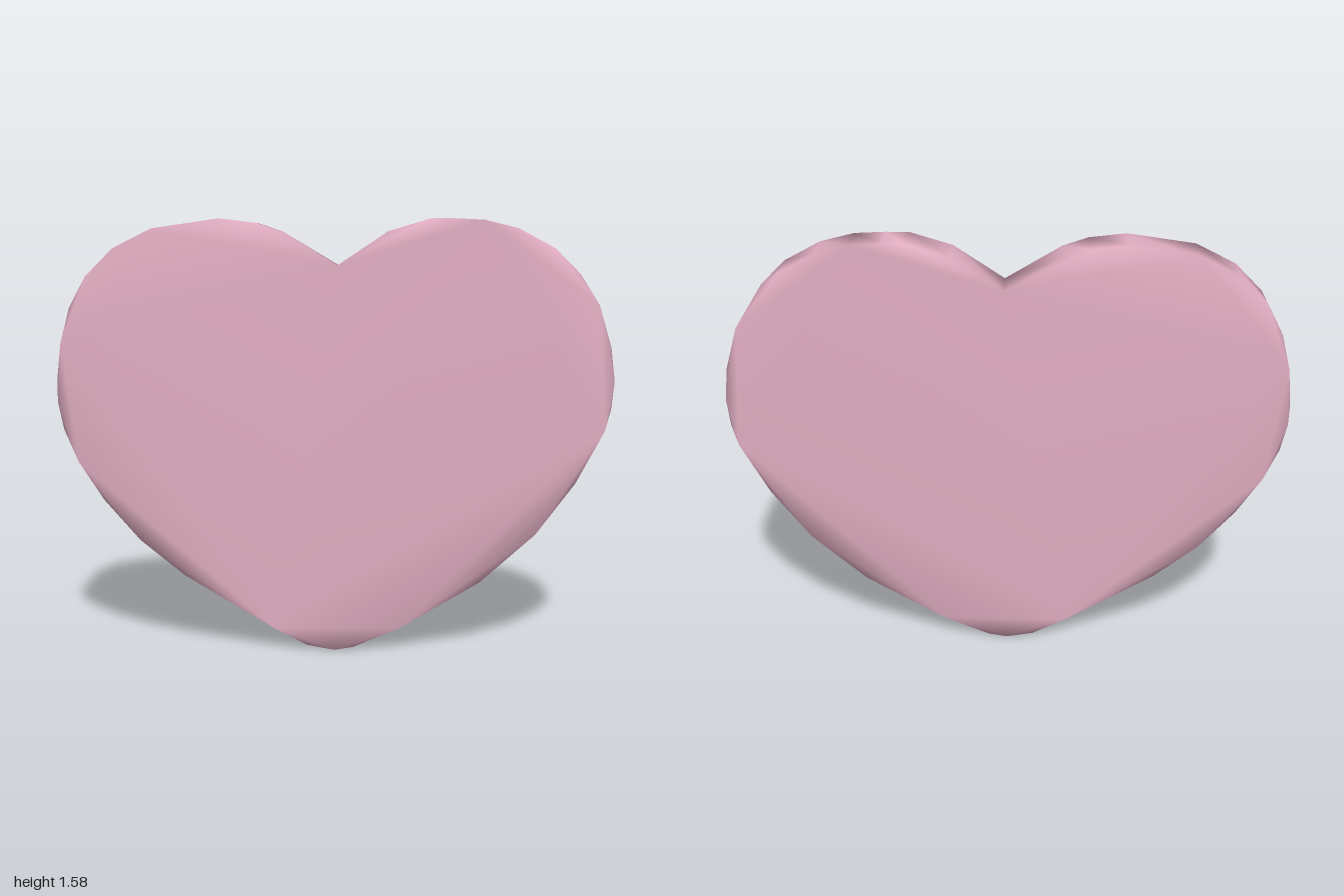
import * as THREE from 'three';
import { mergeVertices } from 'three/addons/utils/BufferGeometryUtils.js';

const DEPTH = 0.14;

// Heart outline, from the notch down one lobe to the tip and back up the other
const OUTLINE = [
  [0.01, 1.41], [0.19, 1.53], [0.34, 1.575], [0.42, 1.575], [0.53, 1.57], [0.65, 1.54],
  [0.78, 1.47], [0.87, 1.38], [0.94, 1.27], [0.985, 1.12], [1, 1.0], [0.99, 0.9],
  [0.97, 0.82], [0.87, 0.63], [0.73, 0.44], [0.53, 0.26], [0.24, 0.085], [0.07, 0.012],
  [0, 0], [-0.1, 0.018], [-0.22, 0.08], [-0.55, 0.28], [-0.71, 0.41], [-0.84, 0.56],
  [-0.93, 0.7], [-0.98, 0.82], [-1, 0.92], [-1, 1.0], [-0.985, 1.13], [-0.95, 1.26],
  [-0.89, 1.37], [-0.79, 1.47], [-0.65, 1.54], [-0.41, 1.575], [-0.28, 1.56], [-0.19, 1.53],
];

export function createModel() {
  const group = new THREE.Group();
  group.name = 'heart';

  const shape = new THREE.Shape(OUTLINE.map(([x, y]) => new THREE.Vector2(x, y)));
  let geometry = new THREE.ExtrudeGeometry(shape, { depth: DEPTH, bevelEnabled: false });
  geometry.translate(0, 0, -DEPTH / 2);

  // Weld faces and rim so the shading flows smoothly over the edge
  geometry.deleteAttribute('normal');
  geometry.deleteAttribute('uv');
  geometry = mergeVertices(geometry, 1e-4);
  geometry.computeVertexNormals();

  const heart = new THREE.Mesh(geometry, new THREE.MeshStandardMaterial({ color: 0xe0adc0 }));
  heart.name = 'heartPlate';
  group.add(heart);
  return group;
}
